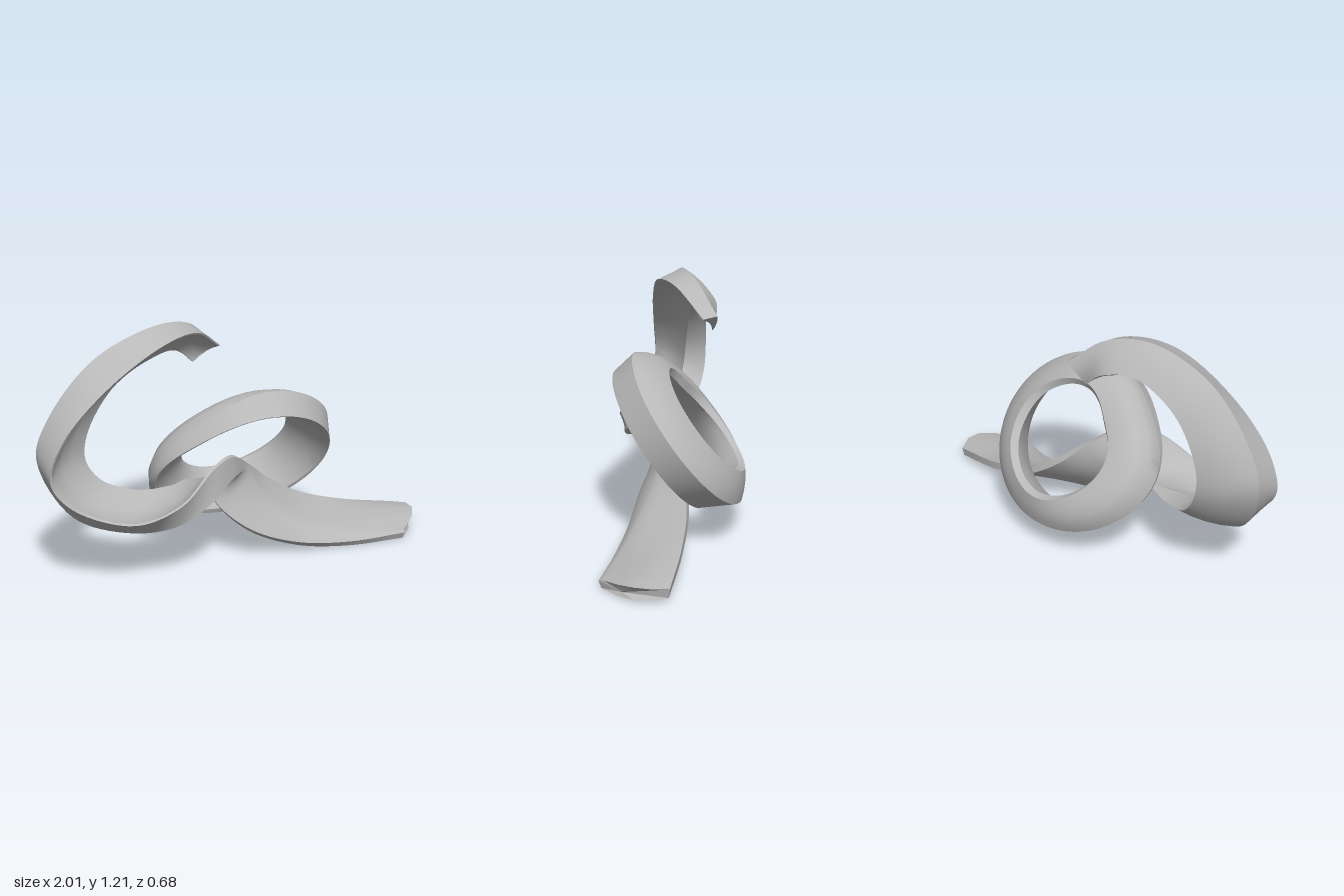
import * as THREE from 'three';
import { toCreasedNormals } from 'three/addons/utils/BufferGeometryUtils.js';

const V = (x, y, z) => new THREE.Vector3(x, y, z);
const { smoothstep } = THREE.MathUtils;
const STEPS = 4; // steps across each face of the cross-section

// Curve from a to b that passes through m half way
function arc(a, m, b) {
  const ctrl = m.clone().multiplyScalar(2).addScaledVector(a, -0.5).addScaledVector(b, -0.5);
  return new THREE.QuadraticBezierCurve3(a, ctrl, b).getPoints(STEPS);
}

// Hollow-backed wedge: front rim, ridge, back rim, then a curved inner face
const wedge = (f, fo, o, ob, b, bi, m, fi) => [
  ...arc(f, fo, o).slice(0, -1), ...arc(o, ob, b), ...arc(bi, m, fi)];

// Skin a row of cross-sections, either as a ring or with capped ends
function loft(sections, closed) {
  const n = sections[0].length, rows = sections.length;
  const pos = [], index = [];
  sections.flat().forEach((p) => pos.push(p.x, p.y, p.z));
  for (let i = 0; i < (closed ? rows : rows - 1); i++) {
    for (let j = 0; j < n; j++) {
      const a = i * n + j, b = i * n + (j + 1) % n;
      const k = ((i + 1) % rows) * n;
      const c = k + j, d = k + (j + 1) % n;
      index.push(a, b, c, b, d, c);
    }
  }
  if (!closed) {
    for (const row of [0, rows - 1]) {
      const s = sections[row];
      const mid = s[STEPS].clone().lerp(s[2.5 * STEPS + 1], 0.6);
      const m = pos.length / 3;
      pos.push(mid.x, mid.y, mid.z);
      for (let j = 0; j < n; j++) {
        const a = row * n + j, b = row * n + (j + 1) % n;
        if (row) index.push(m, a, b);
        else index.push(m, b, a);
      }
    }
  }
  const g = new THREE.BufferGeometry();
  g.setAttribute('position', new THREE.Float32BufferAttribute(pos, 3));
  g.setIndex(index);
  return toCreasedNormals(g, 0.6);
}

// Three rails of the twisting ribbon, from the upper tip to the foot
const frontRim = [
  [0, 1.035, -0.13], [-0.18, 1.155, 0.02], [-0.4, 1.145, 0.13], [-0.7, 0.99, 0.19],
  [-0.92, 0.78, 0.21], [-0.985, 0.6, 0.21], [-0.89, 0.46, 0.23], [-0.62, 0.365, 0.31],
  [-0.4, 0.43, 0.335], [-0.2, 0.55, 0.25], [-0.07, 0.565, 0.17], [0.08, 0.46, 0.04],
  [0.2, 0.355, -0.04], [0.4, 0.22, -0.085], [0.65, 0.13, -0.085], [0.97, 0.065, -0.06],
];
const ridge = [
  [-0.03, 1.045, -0.195], [-0.18, 1.175, -0.09], [-0.4, 1.205, 0], [-0.72, 1.09, 0.05],
  [-0.95, 0.83, 0.06], [-1, 0.66, 0.06], [-0.86, 0.38, 0.13], [-0.6, 0.28, 0.2],
  [-0.4, 0.315, 0.29], [-0.22, 0.4, 0.28], [-0.06, 0.465, 0.18], [0.06, 0.43, 0.07],
  [0.16, 0.29, 0.08], [0.35, 0.135, 0.15], [0.61, 0.065, 0.205], [0.87, 0.05, 0.24],
];
const backRim = [
  [-0.13, 0.955, -0.17], [-0.24, 1.05, -0.18], [-0.4, 1.08, -0.13], [-0.62, 0.97, -0.1],
  [-0.75, 0.74, -0.09], [-0.74, 0.58, -0.08], [-0.64, 0.44, -0.04], [-0.48, 0.39, 0.01],
  [-0.34, 0.41, 0.04], [-0.25, 0.425, 0.04], [-0.17, 0.395, 0.07], [-0.11, 0.29, 0.12],
  [0.04, 0.165, 0.18], [0.28, 0.07, 0.21], [0.55, 0.035, 0.24], [0.85, 0.04, 0.27],
];

function ribbonGeometry() {
  const [cf, co, cb] = [frontRim, ridge, backRim].map(
    (r) => new THREE.CatmullRomCurve3(r.map((p) => V(...p))));
  const steps = 120, sections = [];
  const centre = (t) => cf.getPoint(t).add(cb.getPoint(t));
  for (let i = 0; i <= steps; i++) {
    const t = i / steps;
    const f = cf.getPoint(t), o = co.getPoint(t), b = cb.getPoint(t);
    const along = centre(Math.min(1, t + 0.01)).sub(centre(Math.max(0, t - 0.01)));
    const n = along.cross(b.clone().sub(f)).normalize();
    const lip = 0.006 + 0.03 * smoothstep(t, 0.5, 0.85);
    const thick = smoothstep(t, 0, 0.15) * (1 - smoothstep(t, 0.4, 0.56)); // heavy back edge of the hook
    const nose = smoothstep(t, 0.9, 1); // pointed foot
    const fo = f.clone().lerp(o, 0.5).add(V(0.085 * nose, 0.026 * nose, 0));
    const ob = o.clone().lerp(b, 0.5).addScaledVector(n, -0.06 * o.distanceTo(b));
    const fi = f.clone().addScaledVector(n, lip + 0.008 * nose).lerp(b, 0.03);
    const bi = b.clone().addScaledVector(n, lip + 0.08 * thick).lerp(f, 0.03 + 0.22 * thick);
    const m = fi.clone().lerp(bi, 0.5).lerp(o, 0.22 * (1 - smoothstep(t, 0.6, 0.8)));
    m.x += 0.07 * nose;
    sections.push(wedge(f, fo, o, ob, b, bi, m, fi));
  }
  return loft(sections, false);
}

// Ring section every eighth of a turn: [radial, axial] offsets for
// front rim, ridge, back bulge, back rim, inner back lip, hollow, inner front lip
const ringKeys = [
  [[-0.05, 0.14], [0, 0], [-0.075, -0.06], [-0.17, -0.1], [-0.2, -0.07], [-0.14, 0.02], [-0.06, 0.135]],
  [[-0.033, 0.135], [0, 0], [-0.07, -0.06], [-0.165, -0.1], [-0.19, -0.07], [-0.125, 0.02], [-0.045, 0.13]],
  [[-0.018, 0.13], [0, 0], [-0.065, -0.062], [-0.165, -0.1], [-0.185, -0.07], [-0.11, 0.02], [-0.03, 0.125]],
  [[-0.05, 0.12], [-0.042, 0.05], [-0.09, -0.055], [-0.225, -0.085], [-0.25, -0.05], [-0.165, 0.025], [-0.06, 0.118]],
  [[-0.015, 0.11], [-0.003, 0.085], [-0.06, -0.04], [-0.2, -0.08], [-0.225, -0.045], [-0.15, 0.02], [-0.025, 0.11]],
  [[-0.055, 0.14], [-0.003, 0.045], [-0.055, -0.05], [-0.165, -0.09], [-0.185, -0.065], [-0.15, 0.025], [-0.07, 0.135]],
  [[-0.092, 0.162], [-0.004, 0], [-0.055, -0.055], [-0.118, -0.1], [-0.15, -0.08], [-0.145, 0.03], [-0.12, 0.155]],
  [[-0.072, 0.15], [-0.002, 0], [-0.06, -0.058], [-0.145, -0.1], [-0.175, -0.075], [-0.143, 0.025], [-0.09, 0.145]],
];

// Tilted ring whose section turns gently on the way round
function ringGeometry() {
  const c = V(0.065, 0.52, -0.065), d = V(0, 0.8, 0.6), axis = V(0, -0.6, 0.8);
  const rails = ringKeys[0].map((_, j) => new THREE.CatmullRomCurve3(
    ringKeys.map((key) => V(key[j][0], key[j][1], 0)), true, 'catmullrom'));
  const steps = 96, sections = [];
  for (let i = 0; i < steps; i++) {
    const a = (i / steps) * Math.PI * 2;
    const [f, o, ob, b, bi, m, fi] = rails.map((rail) => {
      const p = rail.getPoint(i / steps);
      return c.clone().add(V((0.485 + p.x) * Math.cos(a), 0, 0))
        .addScaledVector(d, (0.447 + p.x) * Math.sin(a))
        .addScaledVector(axis, p.y);
    });
    sections.push(wedge(f, f.clone().lerp(o, 0.5), o, ob, b, bi, m, fi));
  }
  return loft(sections, true);
}

export function createModel() {
  const group = new THREE.Group();
  group.name = 'ribbonSculpture';
  const grey = new THREE.MeshStandardMaterial({ color: 0xb8b8b8 });
  grey.name = 'grey';
  const add = (name, geometry) => {
    const mesh = new THREE.Mesh(geometry, grey);
    mesh.name = name;
    group.add(mesh);
  };
  add('twistingRibbon', ribbonGeometry());
  add('ring', ringGeometry());

  // Rest the sculpture on the ground
  const box = new THREE.Box3().setFromObject(group);
  group.children.forEach((m) => m.geometry.translate(0, -box.min.y, 0));
  return group;
}
